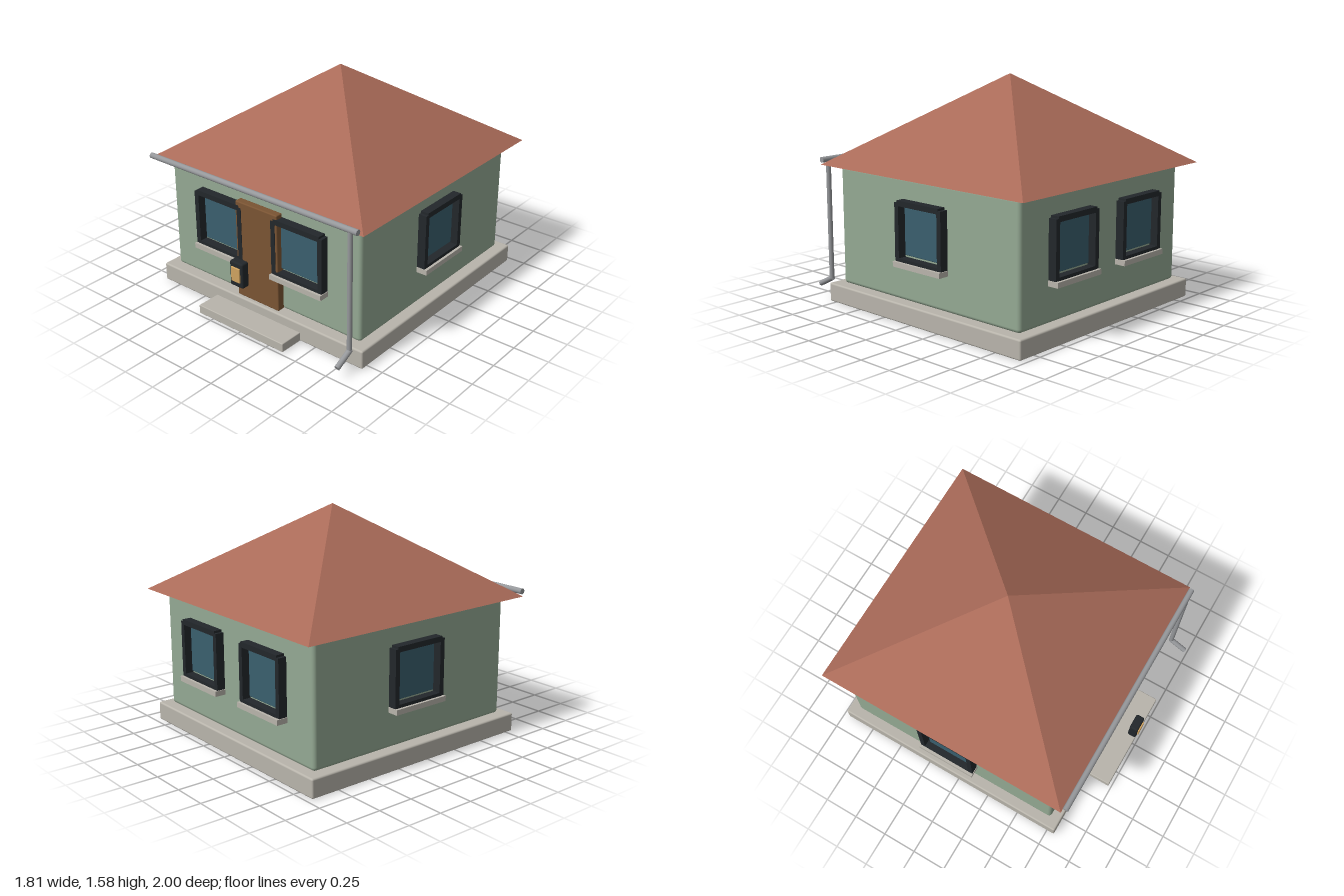
import * as THREE from 'three';
import { RoundedBoxGeometry } from 'three/addons/geometries/RoundedBoxGeometry.js';

const mat = (color, flatShading = false) => new THREE.MeshStandardMaterial({ color, flatShading });
const MAT = {
  stone: mat(0xb8b4ab), wall: mat(0x94a993), roof: mat(0xa96a58, true), door: mat(0x7a5433),
  frame: mat(0x22272b), glass: mat(0x3a5f6e), metal: mat(0x96989b), amber: mat(0xd0a360),
};
const CZ = -0.079; // centre of the house body along z

function add(parent, name, geometry, material, x = 0, y = 0, z = 0) {
  const mesh = new THREE.Mesh(geometry, material);
  mesh.name = name;
  mesh.position.set(x, y, z);
  parent.add(mesh);
  return mesh;
}

// Box given by its extents, rounded when r > 0
function block(parent, name, material, [x0, x1], [y0, y1], [z0, z1], r = 0) {
  const size = [x1 - x0, y1 - y0, z1 - z0];
  const geo = r ? new RoundedBoxGeometry(...size, 3, r) : new THREE.BoxGeometry(...size);
  return add(parent, name, geo, material, (x0 + x1) / 2, (y0 + y1) / 2, (z0 + z1) / 2);
}

// Round pipe between two points
function pipe(parent, name, from, to, r) {
  const a = new THREE.Vector3(...from), b = new THREE.Vector3(...to);
  const dir = b.clone().sub(a);
  const mesh = add(parent, name, new THREE.CylinderGeometry(r, r, dir.length(), 16), MAT.metal);
  mesh.position.copy(a).add(b).multiplyScalar(0.5);
  mesh.quaternion.setFromUnitVectors(new THREE.Vector3(0, 1, 0), dir.normalize());
}

// Window facing +z, with the wall surface at z = 0
function makeWindow() {
  const w = new THREE.Group();
  w.name = 'window';
  block(w, 'pane', MAT.glass, [-0.16, 0.16], [0.45, 0.768], [-0.01, 0.02], 0.006);
  for (const s of [-1, 1]) {
    const post = block(w, 'framePost', MAT.frame, [-0.0175, 0.0175], [0.412, 0.8], [-0.01, 0.06]);
    post.position.x = s * 0.1935;
  }
  block(w, 'frameTop', MAT.frame, [-0.19, 0.19], [0.778, 0.815], [-0.01, 0.06]);
  block(w, 'frameBottom', MAT.frame, [-0.19, 0.19], [0.396, 0.433], [-0.01, 0.06]);
  block(w, 'sill', MAT.stone, [-0.215, 0.215], [0.375, 0.411], [-0.005, 0.079]);
  return w;
}

export function createModel() {
  const house = new THREE.Group();
  house.name = 'house';

  // Foundation, front step and walls
  block(house, 'foundation', MAT.stone, [-0.885, 0.885], [0, 0.131], [-0.962, 0.807], 0.012);
  block(house, 'frontStep', MAT.stone, [-0.375, 0.375], [0, 0.064], [0.7, 0.978], 0.006);
  block(house, 'walls', MAT.wall, [-0.814, 0.814], [0.131, 0.957], [-0.893, 0.735], 0.026);

  // Pyramid roof
  const roof = new THREE.ConeGeometry(Math.SQRT2, 0.617, 4, 1);
  roof.rotateY(Math.PI / 4);
  roof.scale(0.906, 1, 0.918);
  add(house, 'roof', roof, MAT.roof, 0, 0.963 + 0.617 / 2, -0.08);

  // Door
  block(house, 'door', MAT.door, [-0.18, 0.18], [0.139, 0.844], [0.735, 0.792], 0.008);

  // Windows: [x, z, turn about y]
  const windows = [
    [-0.34, 0.735, 0], [0.34, 0.735, 0],
    [-0.34, -0.893, Math.PI], [0.34, -0.893, Math.PI],
    [0.814, CZ, Math.PI / 2], [-0.814, CZ, -Math.PI / 2],
  ];
  for (const [x, z, turn] of windows) {
    const w = makeWindow();
    w.position.set(x, 0, z);
    w.rotation.y = turn;
    house.add(w);
  }

  // Lantern in front of the door
  const lantern = new THREE.Group();
  lantern.name = 'lantern';
  block(lantern, 'lanternCase', MAT.frame, [-0.056, 0.056], [0.352, 0.533], [0.928, 0.99], 0.013);
  block(lantern, 'lanternLight', MAT.amber, [-0.037, 0.037], [0.393, 0.497], [0.96, 1.0], 0.004);
  house.add(lantern);

  // Gutter, downspout and outlet
  pipe(house, 'gutter', [-0.881, 0.99, 0.857], [0.881, 0.99, 0.857], 0.02);
  pipe(house, 'downspout', [0.823, 0.99, 0.857], [0.823, 0.14, 0.857], 0.017);
  pipe(house, 'outlet', [0.823, 0.147, 0.85], [0.823, 0.08, 0.98], 0.019);

  return house;
}
